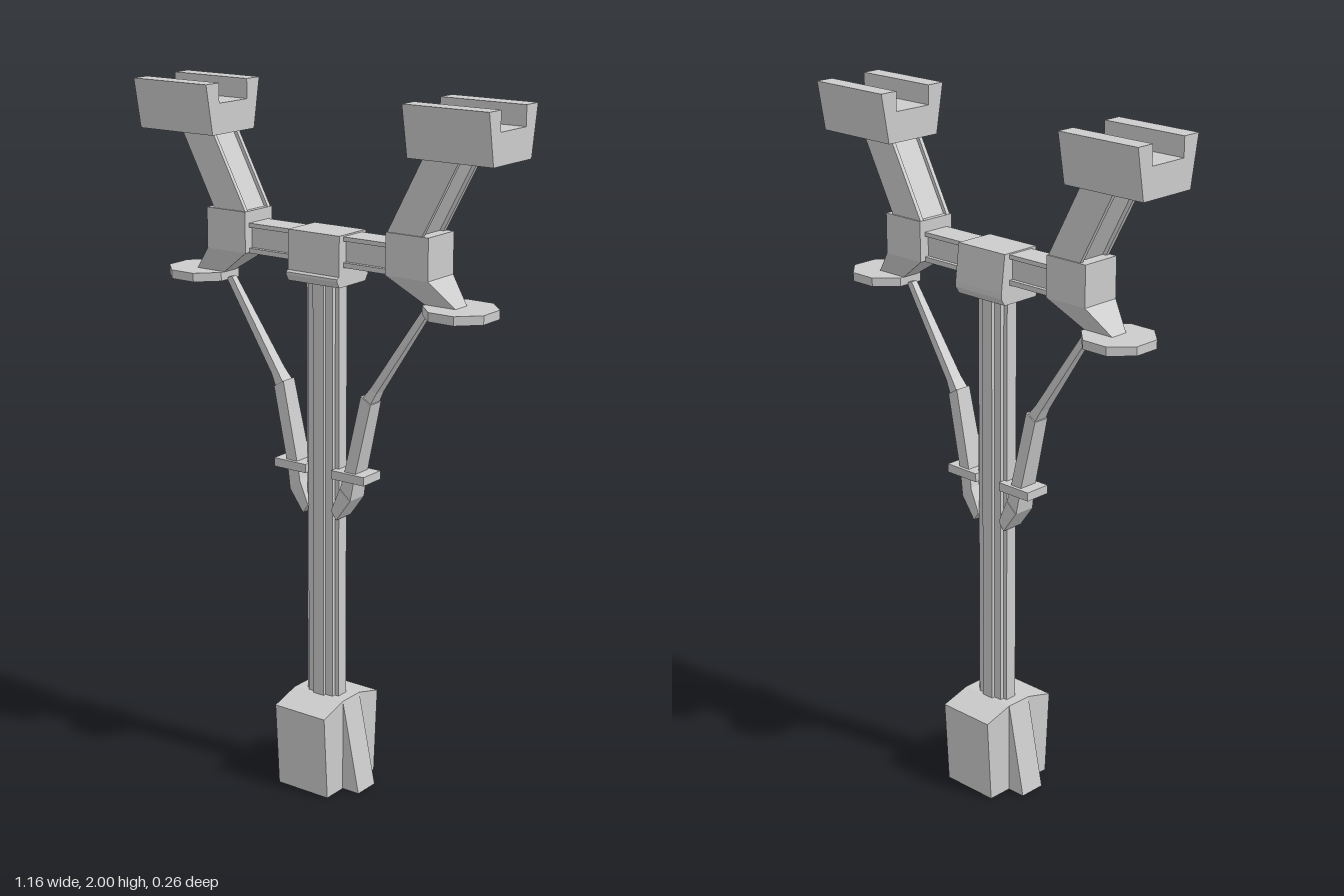
import * as THREE from 'three';

const material = new THREE.MeshStandardMaterial({ color: 0xcccccc, flatShading: true });

function add(parent, name, geometry, x = 0, y = 0, z = 0) {
  const mesh = new THREE.Mesh(geometry, material);
  mesh.name = name;
  mesh.position.set(x, y, z);
  parent.add(mesh);
  return mesh;
}

// Four-sided loft, listed from the bottom up.
// Each section is [innerX, innerY, outerX, outerY, halfDepth].
function loft(sections) {
  const rings = sections.map(([ax, ay, bx, by, d]) => [[ax, ay, d], [bx, by, d], [bx, by, -d], [ax, ay, -d]]);
  const out = [];
  const quad = (a, b, c, d) => out.push(...a, ...b, ...c, ...a, ...c, ...d);
  for (let r = 0; r < rings.length - 1; r++) {
    const lo = rings[r], hi = rings[r + 1];
    for (let i = 0; i < 4; i++) {
      const j = (i + 1) % 4;
      quad(lo[i], lo[j], hi[j], hi[i]);
    }
  }
  quad(...[...rings[0]].reverse());
  quad(...rings[rings.length - 1]);
  const g = new THREE.BufferGeometry();
  g.setAttribute('position', new THREE.Float32BufferAttribute(out, 3));
  g.computeVertexNormals();
  return g;
}

// Outline extruded by a length, centred on its own axis.
function extrude(points, length) {
  const shape = new THREE.Shape(points.map(([x, y]) => new THREE.Vector2(x, y)));
  return new THREE.ExtrudeGeometry(shape, { depth: length, bevelEnabled: false }).translate(0, 0, -length / 2);
}

// Outline given as [z, y], extruded along x.
const alongX = (points, length) => extrude(points.map(([z, y]) => [-z, y]), length).rotateY(Math.PI / 2);

// One side: elbow, arm, cradle, disc and strut (built toward +x).
function createSide(name) {
  const side = new THREE.Group();
  side.name = name;

  add(side, 'elbow', loft([
    [0.345, 1.465, 0.44, 1.465, 0.025],
    [0.235, 1.54, 0.37, 1.54, 0.06],
    [0.235, 1.655, 0.37, 1.655, 0.06],
  ]));

  // Arm with a recessed web between two rails
  add(side, 'armWeb', loft([[0.247, 1.65, 0.333, 1.65, 0.046], [0.362, 1.865, 0.448, 1.865, 0.046]]));
  for (const z of [-0.05, 0.05]) {
    add(side, 'armRail', loft([[0.235, 1.65, 0.345, 1.65, 0.006], [0.35, 1.865, 0.46, 1.865, 0.006]]), 0, 0, z);
  }

  // Slotted cradle
  add(side, 'cradle', alongX([
    [-0.09, 1.86], [0.09, 1.86], [0.115, 2], [0.06, 2],
    [0.06, 1.945], [-0.06, 1.945], [-0.06, 2], [-0.115, 2],
  ], 0.26), 0.45);

  // Octagonal disc
  const disc = new THREE.CylinderGeometry(0.103, 0.103, 0.025, 8).rotateY(Math.PI / 8);
  add(side, 'disc', disc, 0.435, 1.457);

  // Bent strut and its collar
  add(side, 'upperStrut', loft([
    [0.137, 1.18, 0.163, 1.165, 0.022],
    [0.16, 1.21, 0.18, 1.198, 0.018],
    [0.325, 1.455, 0.345, 1.45, 0.01],
  ]));
  add(side, 'lowerStrut', loft([
    [0.07, 0.91, 0.105, 0.88, 0.033],
    [0.08, 0.95, 0.115, 0.94, 0.03],
    [0.133, 1.185, 0.166, 1.165, 0.025],
  ]));
  add(side, 'strutFoot', loft([
    [0.04, 0.84, 0.058, 0.815, 0.035],
    [0.07, 0.91, 0.105, 0.88, 0.035],
  ]));
  add(side, 'collar', new THREE.BoxGeometry(0.11, 0.025, 0.08), 0.1, 0.948);
  return side;
}

export function createModel() {
  const model = new THREE.Group();
  model.name = 'fork stand';

  // Base block with tapered side fins
  add(model, 'baseBlock', alongX([
    [-0.115, 0], [0.115, 0], [0.13, 0.25], [0.04, 0.275], [-0.04, 0.275], [-0.13, 0.25],
  ], 0.174));
  add(model, 'baseFins', loft([[-0.143, 0, 0.143, 0, 0.04], [-0.087, 0.274, 0.087, 0.274, 0.04]]));

  // Grooved column: one quarter outline mirrored around
  const quarter = [[0.055, 0.018], [0.042, 0.018], [0.042, 0.03], [0.018, 0.03], [0.018, 0.04]];
  const back = [...quarter].reverse();
  const outline = [
    ...quarter,
    ...back.map(([x, y]) => [-x, y]),
    ...quarter.map(([x, y]) => [-x, -y]),
    ...back.map(([x, y]) => [x, -y]),
  ];
  add(model, 'column', extrude(outline, 1.23).rotateX(-Math.PI / 2), 0, 0.885);

  // Crossbeam with recessed faces
  add(model, 'crossbeam', alongX([
    [-0.042, 1.538], [0.042, 1.538], [0.042, 1.552], [0.03, 1.552], [0.03, 1.61], [0.042, 1.61],
    [0.042, 1.622], [-0.042, 1.622], [-0.042, 1.61], [-0.03, 1.61], [-0.03, 1.552], [-0.042, 1.552],
  ], 0.5));

  // Saddle over the column
  add(model, 'saddle', alongX([
    [-0.06, 1.485], [0.06, 1.485], [0.07, 1.503], [0.07, 1.51], [0.062, 1.515], [0.06, 1.626],
    [-0.06, 1.626], [-0.073, 1.52], [-0.073, 1.505],
  ], 0.172));

  // Each side is symmetric front to back, so a half turn mirrors it
  model.add(createSide('leftSide'));
  const right = createSide('rightSide');
  right.rotation.y = Math.PI;
  model.add(right);
  return model;
}
